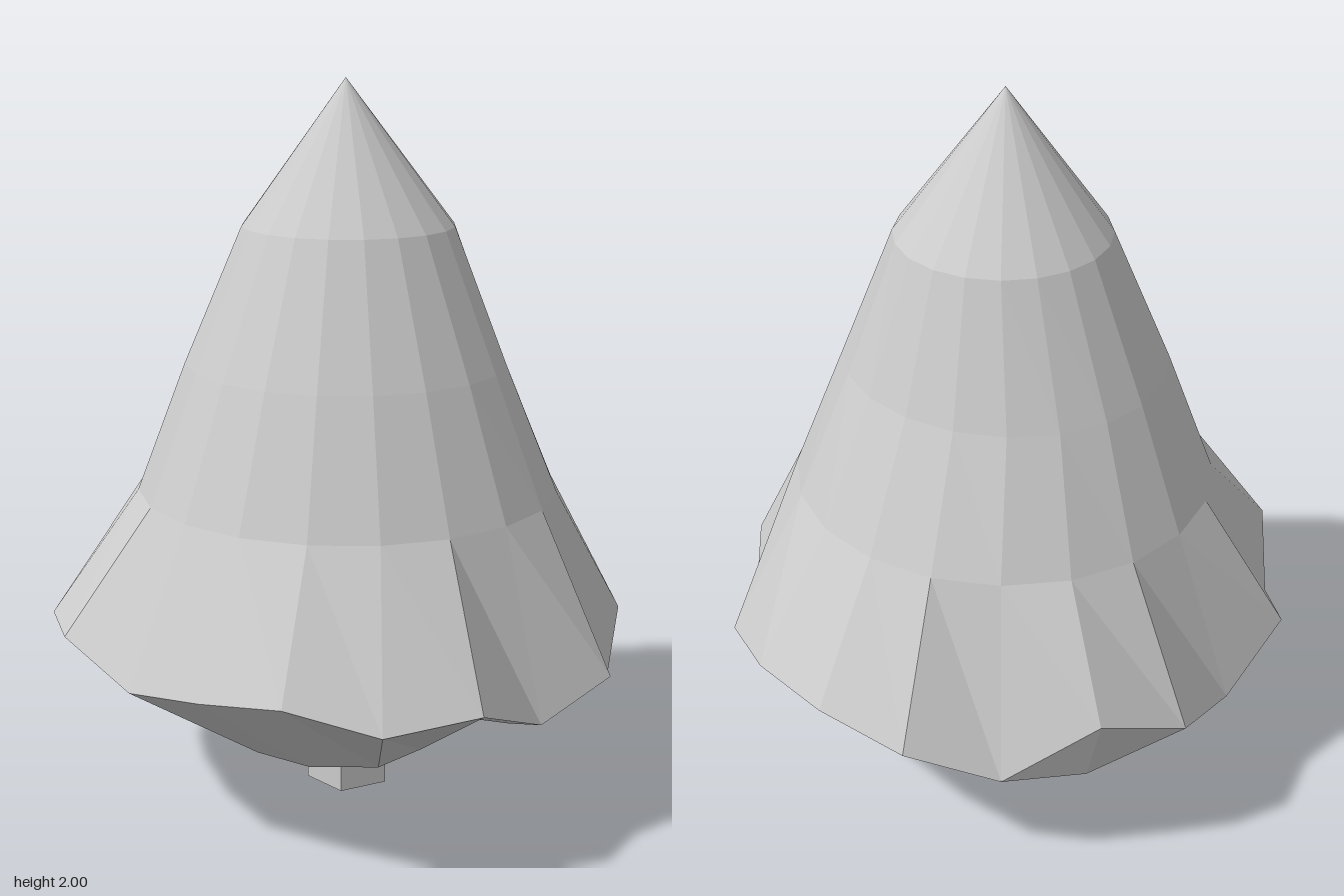
import * as THREE from 'three';

const SIDES = 20;
const angle = (i) => (i / SIDES) * Math.PI * 2;
const clamp = THREE.MathUtils.clamp;

// One closed loop of points, made by a rule of the angle (0 = +x, 90 degrees = +z)
const ring = (rule) => Array.from({ length: SIDES }, (_, i) => new THREE.Vector3(...rule(angle(i))));
const circle = (r, y, right = 1) => ring((a) => {
  const c = Math.cos(a);
  return [r * c * (c > 0 ? right : 1), y, r * Math.sin(a)];
});
const point = (x, y, z) => ring(() => [x, y, z]);

// Flat-shaded skin through a stack of loops, listed from top to bottom
function loft(rings) {
  const pos = [];
  const tri = (a, b, c) => {
    const area = b.clone().sub(a).cross(c.clone().sub(a)).length();
    if (area > 1e-6) for (const p of [a, b, c]) pos.push(p.x, p.y, p.z);
  };
  for (let k = 0; k < rings.length - 1; k++) {
    const up = rings[k], low = rings[k + 1];
    for (let i = 0; i < SIDES; i++) {
      const j = (i + 1) % SIDES;
      tri(up[i], up[j], low[i]);
      tri(up[j], low[j], low[i]);
    }
  }
  const geo = new THREE.BufferGeometry();
  geo.setAttribute('position', new THREE.Float32BufferAttribute(pos, 3));
  geo.computeVertexNormals();
  return geo;
}

// Ragged lower edge of the foliage: x, y, z every 18 degrees
const HEM = [
  [0.80, 0.53, 0], [0.76, 0.53, 0.25], [0.64, 0.48, 0.47], [0.43, 0.37, 0.60], [0.22, 0.47, 0.77],
  [-0.03, 0.40, 0.745], [-0.28, 0.505, 0.77], [-0.51, 0.48, 0.65], [-0.68, 0.55, 0.475], [-0.74, 0.51, 0.23],
  [-0.78, 0.48, 0], [-0.80, 0.57, -0.25], [-0.68, 0.55, -0.475], [-0.48, 0.43, -0.61], [-0.28, 0.52, -0.77],
  [-0.03, 0.40, -0.75], [0.22, 0.47, -0.77], [0.46, 0.58, -0.66], [0.59, 0.37, -0.44], [0.76, 0.48, -0.25],
];

export function createModel() {
  const group = new THREE.Group();
  const material = new THREE.MeshStandardMaterial({ color: 0xcccccc, flatShading: true, side: THREE.DoubleSide });

  // Foliage: faceted cone flaring to the ragged hem, closed by a shallow underside
  const hem = HEM.map((p) => new THREE.Vector3(...p));
  const hemUnder = hem.map((p) => p.clone());
  hemUnder[17].set(0.43, 0.37, -0.60); // the one lifted fold at the back
  const underside = ring((a) => {
    const c = Math.cos(a), s = Math.sin(a);
    const y = (c > 0.2 ? 0.25 : 0.285) + (Math.abs(c) < 0.1 ? 0.035 : 0);
    return [clamp(0.57 * c, -0.5, 0.46), y, clamp(0.57 * s, -0.46, 0.46)];
  });
  const foliage = new THREE.Mesh(loft([
    point(-0.01, 2, 0),
    circle(0.29, 1.61),
    circle(0.45, 1.24, 0.92),
    circle(0.585, 0.89, 0.98),
    hem,
    hemUnder,
    underside,
    point(0, 0.26, 0),
  ]), material);
  foliage.name = 'foliage';
  group.add(foliage);

  // Trunk: five-sided post with a corner towards +x
  const trunk = new THREE.Mesh(new THREE.CylinderGeometry(0.12, 0.12, 0.3, 5), material);
  trunk.rotation.y = Math.PI / 2;
  trunk.position.y = 0.15;
  trunk.name = 'trunk';
  group.add(trunk);

  return group;
}
